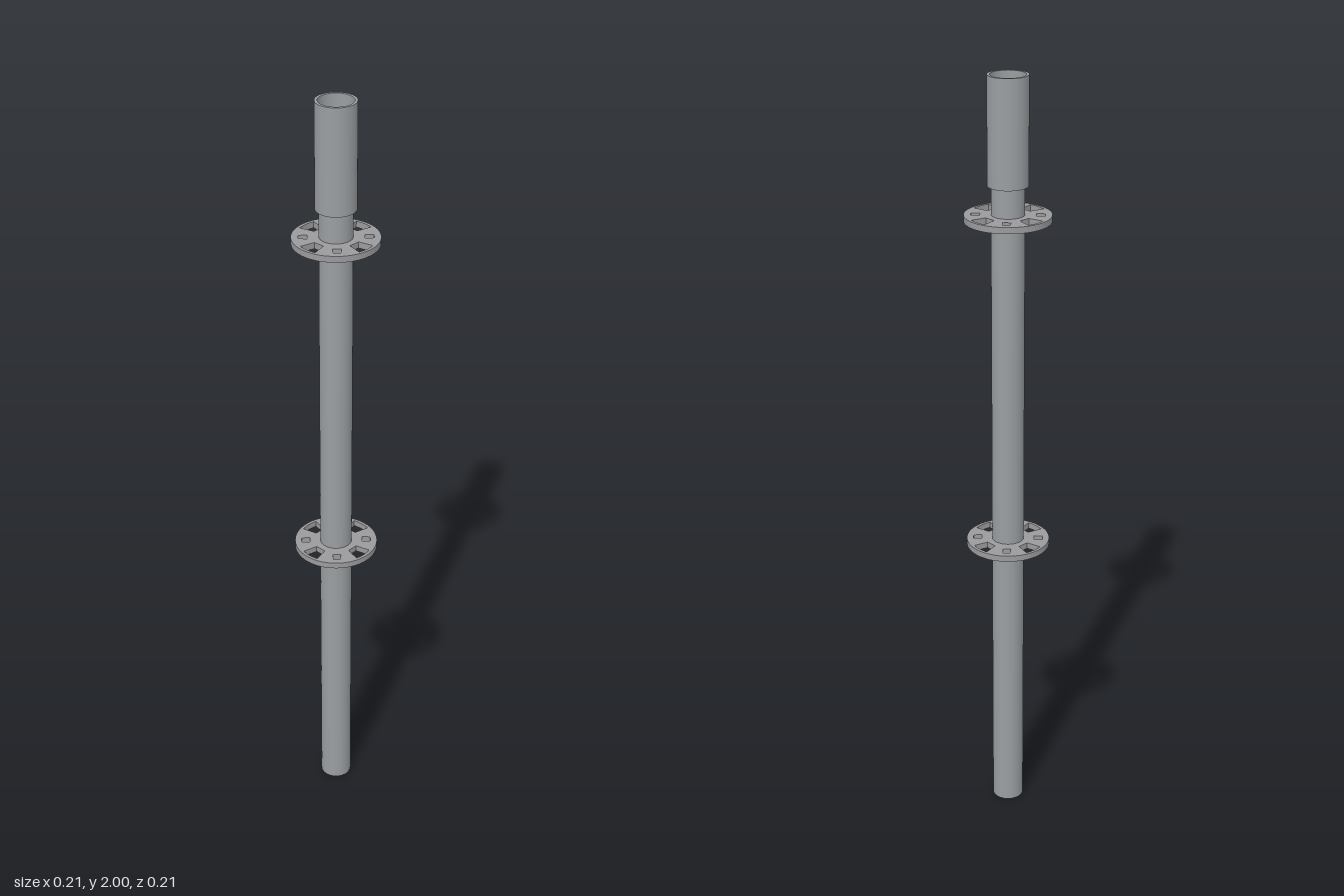
import * as THREE from 'three';

export function createModel() {
  const group = new THREE.Group();
  const steel = new THREE.MeshStandardMaterial({ color: 0x9a9ea1 });
  steel.name = 'galvanised steel';
  const plate = new THREE.MeshStandardMaterial({ color: 0x9b9b9e });
  plate.name = 'plate steel';

  const add = (name, geometry, material) => {
    const mesh = new THREE.Mesh(geometry, material);
    mesh.name = name;
    group.add(mesh);
    return mesh;
  };

  // Hollow tube with crisp rims: ring section extruded along y
  const tube = (name, outer, inner, y0, y1) => {
    const ring = new THREE.Shape().absarc(0, 0, outer, 0, Math.PI * 2);
    ring.holes.push(new THREE.Path().absarc(0, 0, inner, 0, Math.PI * 2, true));
    const geo = new THREE.LatheGeometry(
      // doubled corners keep the edges sharp
      [[inner, y0], [outer, y0], [outer, y0], [outer, y1], [outer, y1], [inner, y1], [inner, y1], [inner, y0]]
        .map(([r, y]) => new THREE.Vector2(r, y)), 48);
    const flat = geo.toNonIndexed();
    // normals: radial on walls, vertical on rims
    const p = flat.attributes.position, n = flat.attributes.normal;
    const a = new THREE.Vector3(), b = new THREE.Vector3(), c = new THREE.Vector3();
    for (let i = 0; i < p.count; i += 3) {
      a.fromBufferAttribute(p, i);
      b.fromBufferAttribute(p, i + 1).sub(a);
      c.fromBufferAttribute(p, i + 2).sub(a);
      const face = b.cross(c).normalize();
      for (let k = i; k < i + 3; k++) {
        if (Math.abs(face.y) > 0.5) n.setXYZ(k, 0, Math.sign(face.y), 0);
        else {
          const x = p.getX(k), z = p.getZ(k), s = Math.sign(face.x * x + face.z * z) / Math.hypot(x, z);
          n.setXYZ(k, x * s, 0, z * s);
        }
      }
    }
    return add(name, flat, steel);
  };

  tube('mainTube', 0.041, 0.037, 0, 1.76);
  tube('topSleeve', 0.05, 0.043, 1.735, 2);

  // Tapered slot at a given angle, with arced outer edge
  const slot = (angle, r0, r1, w0, w1) => {
    const at = (r, t) => new THREE.Vector2(
      r * Math.cos(angle) - t * Math.sin(angle), r * Math.sin(angle) + t * Math.cos(angle));
    const points = [at(r0, w0), at(r0, -w0)];
    for (let i = 0; i <= 6; i++) {
      const t = w1 * (i / 3 - 1);
      points.push(at(Math.sqrt(r1 * r1 - t * t), t));
    }
    return new THREE.Path(points);
  };

  // Rosette discs with four large and four small slots
  const disc = new THREE.Shape().absarc(0, 0, 0.107, 0, Math.PI * 2);
  disc.holes.push(new THREE.Path().absarc(0, 0, 0.0405, 0, Math.PI * 2, true));
  for (let i = 0; i < 4; i++) {
    const angle = i * Math.PI / 2;
    disc.holes.push(slot(angle, 0.058, 0.099, 0.0145, 0.024));
    disc.holes.push(slot(angle + Math.PI / 4, 0.068, 0.09, 0.0105, 0.009));
  }
  const discGeo = new THREE.ExtrudeGeometry(disc, { depth: 0.016, bevelEnabled: false, curveSegments: 32 });
  discGeo.rotateX(-Math.PI / 2);
  [['lowerRosette', 0.787], ['upperRosette', 1.656]].forEach(([name, y]) => {
    add(name, discGeo, plate).position.y = y - 0.008;
  });

  // Weld collar between tube and sleeve
  const weld = new THREE.RingGeometry(0.04, 0.044, 48);
  weld.rotateX(Math.PI / 2);
  add('sleeveSeam', weld, steel).position.y = 1.738;

  return group;
}
